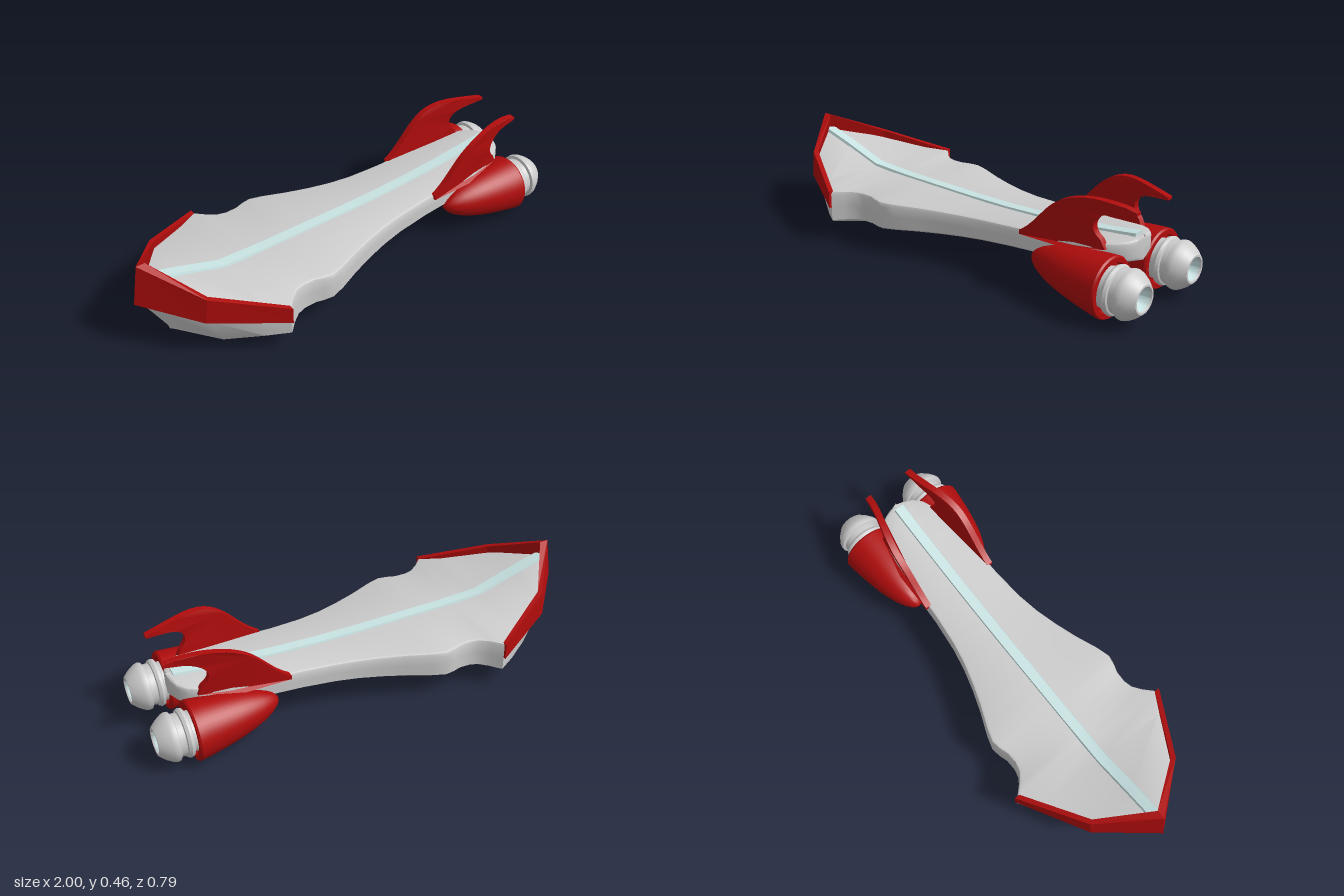
import * as THREE from 'three';
import { toCreasedNormals } from 'three/addons/utils/BufferGeometryUtils.js';

const grey = new THREE.MeshStandardMaterial({ color: 0xcccccc });
const red = new THREE.MeshStandardMaterial({ color: 0xb00c0c });
const pale = new THREE.MeshStandardMaterial({ color: 0xc8e2e2 });

function part(name, geometry, material) {
  const mesh = new THREE.Mesh(geometry, material);
  mesh.name = name;
  return mesh;
}

// Skin a list of equal-length closed rings and cap both ends
function loft(rings, crease = 0.6) {
  const n = rings[0].length, index = [];
  for (let i = 0; i < rings.length - 1; i++) {
    for (let j = 0; j < n; j++) {
      const a = i * n + j, b = i * n + (j + 1) % n;
      index.push(a, b, b + n, a, b + n, a + n);
    }
  }
  const last = (rings.length - 1) * n;
  for (let j = 1; j < n - 1; j++) {
    index.push(0, j + 1, j, last, last + j, last + j + 1);
  }
  const g = new THREE.BufferGeometry();
  g.setAttribute('position', new THREE.Float32BufferAttribute(rings.flat(2), 3));
  g.setIndex(index);
  return toCreasedNormals(g, crease);
}

// Lathe whose axis runs along x; points are [x, radius]
function latheX(points, segments = 40) {
  const g = new THREE.LatheGeometry(points.map(([x, r]) => new THREE.Vector2(r, x)), segments);
  return g.rotateZ(-Math.PI / 2);
}

const deckY = x => 0.235 + 0.065 * Math.max(0, x / 0.85) ** 2;

function hullRing({ x, w, crown, edge, mid, xc, wc, chine, xk, keel }) {
  const half = [
    [x, edge, Math.max(0, w - 0.016)],
    [x, edge - 0.005, Math.max(0, w - 0.005)],
    [x, edge - 0.016, w],
    [x, mid, w],
    [xc, chine + 0.008, wc],
    [xc, chine, Math.max(0, wc - 0.01)],
    [(xc + xk) / 2, keel + (chine - keel) * 0.28, wc * 0.5],
  ];
  const other = half.map(([a, b, c]) => [a, b, -c]).reverse();
  return [[x, crown, 0], ...half, [xk, keel, 0], ...other];
}

function makeHull() {
  // Raked bow
  const stations = [
    { x: -0.965, w: 0, crown: 0.35, edge: 0.35, mid: 0.22, xc: -0.86, wc: 0, chine: 0.03, xk: -0.85, keel: 0.02 },
    { x: -0.79, w: 0.215, crown: 0.3, edge: 0.285, mid: 0.19, xc: -0.73, wc: 0.215, chine: 0.05, xk: -0.72, keel: 0.007 },
    { x: -0.6, w: 0.325, crown: 0.24, edge: 0.245, mid: 0.17, xc: -0.6, wc: 0.32, chine: 0.077, xk: -0.6, keel: 0.007 },
  ];
  // Waisted body, half widths along x
  const body = [[-0.51, 0.38], [-0.47, 0.34], [-0.43, 0.31], [-0.39, 0.3], [-0.34, 0.302], [-0.3, 0.315],
    [-0.26, 0.322], [-0.2, 0.305], [-0.1, 0.265], [0, 0.232], [0.1, 0.205], [0.2, 0.187], [0.35, 0.173],
    [0.5, 0.168], [0.65, 0.16], [0.75, 0.145], [0.82, 0.115], [0.855, 0.08], [0.87, 0.045], [0.876, 0]];
  for (const [x, w] of body) {
    const keel = 0.012 + 0.135 * (x + 0.51);
    const chine = Math.max(0.09 + 0.073 * (x + 0.51), keel + 0.012);
    const top = deckY(x), edge = top - Math.max(0, x - 0.5) * 0.03;
    const mid = chine + (top - chine) * 0.5;
    stations.push({ x, w, crown: top, edge, mid, xc: x, wc: w, chine, xk: x, keel });
  }
  return part('hull', loft(stations.map(hullRing)), grey);
}

// Pale strip along the deck's centre line
function makeStrip() {
  const path = [[-0.955, 0.352], [-0.79, 0.305], [-0.6, 0.244]];
  for (const x of [-0.4, 0, 0.2, 0.4, 0.55, 0.7, 0.8, 0.85]) path.push([x, deckY(x) + 0.002]);
  return part('deckStrip', loft(path.map(([x, y]) => [
    [x, y + 0.006, -0.022], [x, y + 0.006, 0.022], [x, y - 0.012, 0.028], [x, y - 0.012, -0.028],
  ]), 0.4), pale);
}

// V-shaped guard plate around the bow
function makeBowGuard() {
  const ring = (xb, yb, xt, yt, z, dx, dz, s) => [
    [xb, yb, s * z], [xt, yt, s * z], [xt + dx, yt, s * (z - dz)], [xb + dx, yb, s * (z - dz)],
  ];
  const end = [-0.51, 0.16, -0.51, 0.235, 0.393, 0, 0.024];
  const mid = [-0.81, 0.2, -0.797, 0.315, 0.228, 0.012, 0.018];
  const bow = [-1, 0.235, -0.97, 0.416, 0, 0.04, 0];
  return part('bowGuard', loft([
    ring(...end, 1), ring(...mid, 1), ring(...bow, 1), ring(...mid, -1), ring(...end, -1),
  ], 0.25), red);
}

// Hooked tail fin, curving inward towards its tip
function makeFin() {
  const s = new THREE.Shape();
  s.moveTo(0.4, 0.248);
  s.bezierCurveTo(0.52, 0.32, 0.54, 0.462, 0.74, 0.462);
  s.bezierCurveTo(0.8, 0.46, 0.86, 0.452, 0.912, 0.438);
  s.lineTo(0.912, 0.426);
  s.lineTo(0.83, 0.418);
  s.bezierCurveTo(0.73, 0.4, 0.72, 0.34, 0.77, 0.3);
  s.lineTo(0.79, 0.26);
  s.lineTo(0.6, 0.235);
  s.lineTo(0.4, 0.23);
  const g = new THREE.ExtrudeGeometry(s, { depth: 0.028, bevelEnabled: false, curveSegments: 14 });
  const p = g.attributes.position;
  for (let i = 0; i < p.count; i++) {
    const inward = THREE.MathUtils.smoothstep(p.getX(i), 0.58, 0.92) * 0.062;
    p.setZ(i, p.getZ(i) + 0.155 - inward);
  }
  return part('tailFin', toCreasedNormals(g, 0.6), red);
}

function makeEngine() {
  const engine = new THREE.Group();
  engine.name = 'engine';

  // Bullet-shaped cowling, its nose lifted slightly
  const cowl = latheX([[0.465, 0], [0.47, 0.015], [0.485, 0.032], [0.51, 0.05], [0.55, 0.069], [0.6, 0.086],
    [0.65, 0.099], [0.7, 0.109], [0.75, 0.117], [0.8, 0.124], [0.845, 0.129], [0.853, 0.124],
    [0.853, 0.104], [0.83, 0.098], [0.83, 0]]);
  const p = cowl.attributes.position;
  for (let i = 0; i < p.count; i++) p.setY(i, p.getY(i) + 0.025 * Math.max(0, 0.853 - p.getX(i)) / 0.38);
  engine.add(part('cowling', toCreasedNormals(cowl, 0.6), red));

  // Ribbed nozzle with a rounded end
  const nozzle = latheX([[0.82, 0.085], [0.86, 0.085], [0.865, 0.1], [0.878, 0.104], [0.89, 0.098], [0.893, 0.09],
    [0.918, 0.09], [0.922, 0.102], [0.935, 0.104], [0.95, 0.099], [0.975, 0.083], [0.995, 0.065],
    [1, 0.06], [1, 0.052], [0.993, 0.049]]);
  engine.add(part('nozzle', toCreasedNormals(nozzle, 0.6), grey));

  // Glowing throat
  const throat = latheX([[0.994, 0.05], [0.955, 0.04], [0.93, 0.024], [0.938, 0.016], [0.943, 0]]);
  engine.add(part('throat', toCreasedNormals(throat, 0.6), pale));
  return engine;
}

export function createModel() {
  const model = new THREE.Group();
  model.name = 'ship';
  model.add(makeHull(), makeStrip(), makeBowGuard());
  for (const side of [1, -1]) {
    const fin = makeFin();
    fin.scale.z = side;
    const engine = makeEngine();
    engine.position.set(0, 0.13, side * 0.178 - 0.006);
    model.add(fin, engine);
  }
  return model;
}
